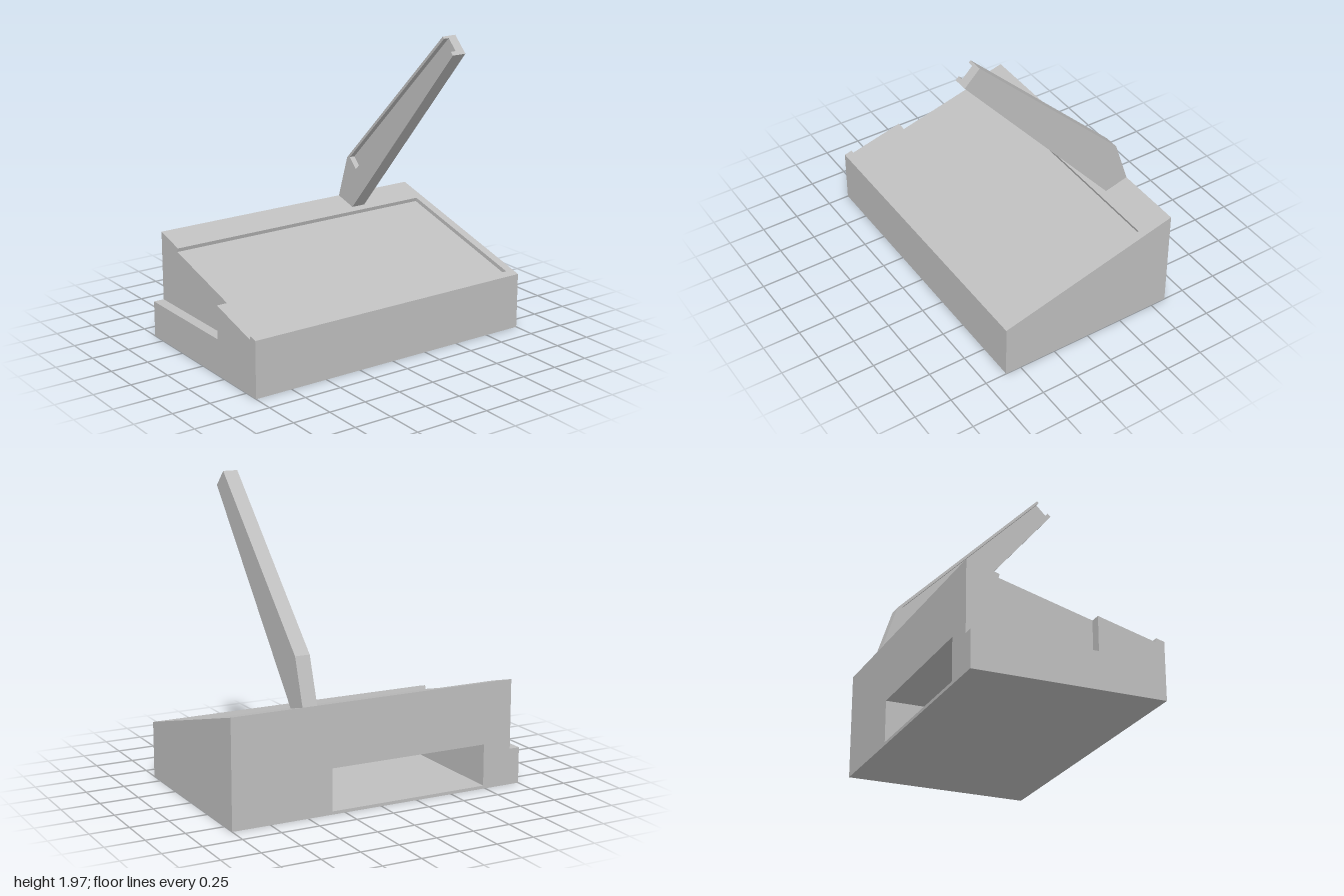
import * as THREE from 'three';

// Slope of the desk top and the shallow tray sunk square to it
const BACK = -0.605, FRONT = 0.605;
const slopeY = (z) => 0.365 + (FRONT - z) * (0.325 / 1.21);
const SINK = { z: -0.007, y: -0.025 };
const trayAt = (z) => [z + SINK.z, slopeY(z) + SINK.y];

// Extrude a (z, y) side profile between two x positions
function slab(name, points, x0, x1, material, holes = []) {
  const shape = new THREE.Shape(points.map(([z, y]) => new THREE.Vector2(-z, y)));
  for (const [z, y, r] of holes) {
    shape.holes.push(new THREE.Path().absarc(-z, y, r, 0, Math.PI * 2, true));
  }
  const geometry = new THREE.ExtrudeGeometry(shape, { depth: x1 - x0, bevelEnabled: false, curveSegments: 12 });
  geometry.rotateY(Math.PI / 2);
  geometry.translate(x0, 0, 0);
  const mesh = new THREE.Mesh(geometry, material);
  mesh.name = name;
  return mesh;
}

export function createModel() {
  const model = new THREE.Group();
  model.name = 'slopedCaseWithArm';
  const grey = new THREE.MeshStandardMaterial({ color: 0xbfbfbf });
  grey.name = 'plainGrey';

  // Case: cross-sections stacked along x
  const body = new THREE.Group();
  body.name = 'case';
  const frontLip = [[FRONT, 0], [FRONT, 0.365], [0.553, slopeY(0.553)], trayAt(0.553)];
  const rearLip = [trayAt(-0.4), [-0.4, slopeY(-0.4)], [BACK, slopeY(BACK)]];
  const trayProfile = [[BACK, 0], ...frontLip, ...rearLip];

  // Left-out corner step with two screw holes in its end face
  const stepProfile = [[BACK, 0], ...frontLip, [0.18, slopeY(0.18) - 0.027], [0.18, 0.235], [BACK, 0.235]];
  const screwHoles = [[-0.42, 0.12, 0.025], [0.42, 0.193, 0.025]];
  body.add(slab('notchedEnd', stepProfile, -1, -0.93, grey, screwHoles));

  // Tray section, with a deep bay opening through the back in its middle
  const bayProfile = [...trayProfile, [BACK, 0.29], [0.5, 0.29], [0.5, 0.02], [BACK, 0.02]];
  body.add(slab('trayEnd', trayProfile, -0.93, -0.735, grey));
  body.add(slab('bayWithTray', bayProfile, -0.735, 0.34, grey));
  body.add(slab('trayUnderArm', trayProfile, 0.34, 0.945, grey));

  // Plain end wall closing the tray
  const wallProfile = [[BACK, 0], [FRONT, 0], [FRONT, 0.365], [BACK, slopeY(BACK)]];
  body.add(slab('endWall', wallProfile, 0.945, 1, grey));
  model.add(body);

  // Arm: solid half plus a half with a channel cut along its upper edge
  const arm = new THREE.Group();
  arm.name = 'arm';
  const armProfile = [[0.585, 1.865], [0.485, 1.965], [-0.51, 0.98], [BACK, slopeY(BACK)], [-0.45, 0.645]];
  const channel = [[0.565, 1.885], [-0.41, 0.92], [-0.478, 0.988], [0.497, 1.953]];
  const channelProfile = [armProfile[0], ...channel, ...armProfile.slice(1)];
  arm.add(slab('armChannelSide', channelProfile, 0.44, 0.477, grey));
  arm.add(slab('armSolidSide', armProfile, 0.477, 0.537, grey));
  model.add(arm);

  return model;
}
